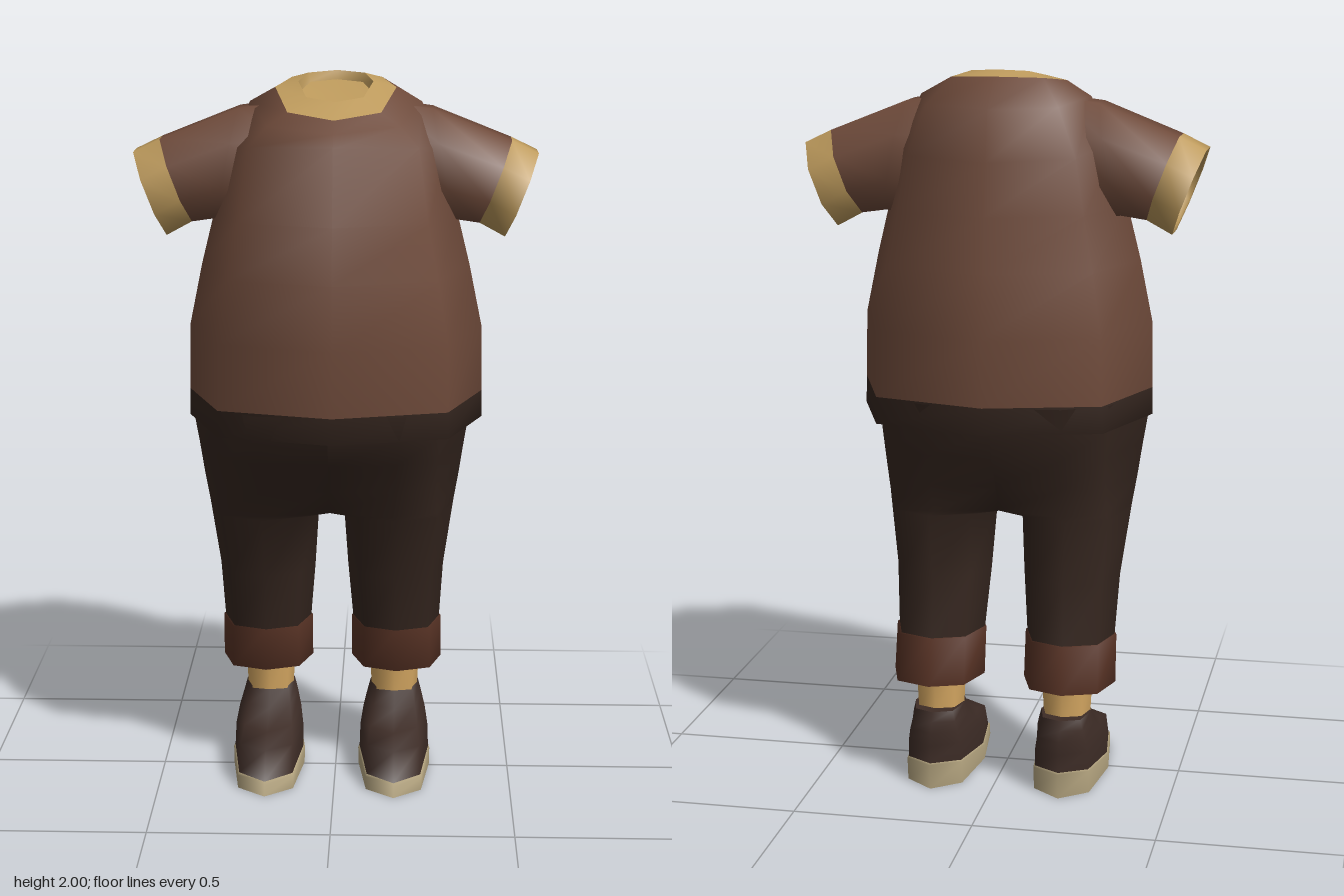
import * as THREE from 'three';
import { mergeGeometries } from 'three/addons/utils/BufferGeometryUtils.js';

const mat = (color) => new THREE.MeshStandardMaterial({ color, side: THREE.DoubleSide });
const shirtMat = mat(0x6e4a3a), trimMat = mat(0xbd9a5c), pantsMat = mat(0x35261f), cuffMat = mat(0x5a3426);
const skinMat = mat(0xd6a862), shoeMat = mat(0x3d2c26), soleMat = mat(0xb5a580);
const { lerp } = THREE.MathUtils;

// Indexed geometry with smooth normals
function solid(pos, index) {
  const g = new THREE.BufferGeometry();
  g.setAttribute('position', new THREE.Float32BufferAttribute(pos, 3));
  g.setIndex(index);
  g.computeVertexNormals();
  return g;
}

// Skin over a list of rings; optional flat caps at the first and last ring
function loft(rings, capStart = false, capEnd = false) {
  const n = rings[0].length, index = [];
  for (let i = 0; i < rings.length - 1; i++) {
    for (let j = 0; j < n; j++) {
      const a = i * n + j, b = i * n + (j + 1) % n;
      index.push(a, b, b + n, a, b + n, a + n);
    }
  }
  const parts = [solid(rings.flat(2), index)];
  const cap = (ring, flip) => {
    const c = [0, 1, 2].map((k) => ring.reduce((s, p) => s + p[k], 0) / n);
    const tri = [];
    for (let j = 0; j < n; j++) {
      const k = (j + 1) % n;
      tri.push(n, flip ? k : j, flip ? j : k);
    }
    parts.push(solid([...ring.flat(), ...c], tri));
  };
  if (capStart) cap(rings[0], true);
  if (capEnd) cap(rings[rings.length - 1], false);
  return mergeGeometries(parts);
}

// Octagon around the vertical axis: half width, front and back z, heights at front, side and back
function ring([rx, zf, zb, yf, ys = yf, yb = yf], cx = 0, k = 0.76) {
  const pts = [];
  for (let i = 0; i < 8; i++) {
    const a = i * Math.PI / 4, d = i % 2 ? k / Math.SQRT1_2 : 1;
    const s = Math.sin(a) * d, c = Math.cos(a) * d;
    const f = Math.abs(c);
    pts.push([cx + rx * s, lerp(ys, c > 0 ? yf : yb, f), (zf + zb) / 2 + (zf - zb) / 2 * c]);
  }
  return pts;
}

// Octagonal sleeve section between a top and a bottom point
function sleeveRing([tx, ty, bx, by], scale = 1) {
  const pts = [], r = scale / Math.cos(Math.PI / 8);
  for (let i = 0; i < 8; i++) {
    const a = (i + 0.5) * Math.PI / 4, c = Math.cos(a) * r / 2;
    pts.push([(tx + bx) / 2 + (tx - bx) * c, (ty + by) / 2 + (ty - by) * c, -0.027 + 0.118 * r * Math.sin(a)]);
  }
  return pts;
}

// Trouser section: d = 1 is a half hip closed on the midline, d = 0 a free octagon
function legRing([y, xi, xo, zf, zb, d]) {
  const zc = (zf + zb) / 2, h = (zf - zb) / 2;
  const ix = xi === 0 ? 0 : lerp(xi, xo, 0.14), iz = lerp(0.76, 1, d), mx = lerp(xi, xo, 0.5);
  const ox = lerp(xi, xo, lerp(0.87, 0.8, d)), oz = lerp(0.76, 0.72, d), mz = lerp(1, 0.94, d);
  return [
    [ix, y, zc + h * iz], [mx, y, zc + h * mz], [ox, y, zc + h * oz], [xo, y, zc],
    [ox, y, zc - h * oz], [mx, y, zc - h * mz], [ix, y, zc - h * iz], [xi, y, zc],
  ];
}

const mirror = (rings, s) => (s > 0 ? rings : rings.map((r) => r.map(([x, y, z]) => [-x, y, z]).reverse()));

export function createModel() {
  const model = new THREE.Group();
  const add = (parent, name, geometry, material) => {
    const m = new THREE.Mesh(geometry, material);
    m.name = name;
    parent.add(m);
    return m;
  };

  // Shirt body
  const hemTop = [0.408, 0.36, -0.36, 1.125];
  const neckEdge = [0.165, 0.172, -0.19, 1.893, 1.965, 1.985];
  add(model, 'shirtBody', loft([
    hemTop,
    [0.405, 0.38, -0.377, 1.31],
    [0.37, 0.357, -0.35, 1.48],
    [0.333, 0.328, -0.328, 1.63],
    [0.3, 0.26, -0.3, 1.83, 1.8, 1.77],
    [0.235, 0.215, -0.275, 1.86, 1.925, 1.905],
    neckEdge,
  ].map((r) => ring(r))), shirtMat);

  // Hem band, turned in underneath
  add(model, 'shirtHem', loft([
    [0.385, 0.33, -0.335, 1.1], [0.385, 0.33, -0.335, 1.055], [0.41, 0.352, -0.357, 1.05], hemTop,
  ].map((r) => ring(r))), pantsMat);

  // Collar with a shallow sunken neck opening
  const lip = [0.102, 0.105, -0.137, 1.935, 1.98, 2.0];
  add(model, 'collar', loft([neckEdge, lip].map((r) => ring(r))), trimMat);
  add(model, 'neckOpening', loft([lip, [0.095, 0.098, -0.13, 1.91, 1.955, 1.975]].map((r) => ring(r)), false, true), trimMat);

  // Lower body sits slightly to the model's right
  const lower = new THREE.Group();
  lower.name = 'lowerBody';
  lower.position.x = -0.0125;
  model.add(lower);

  for (const s of [1, -1]) {
    const side = s > 0 ? 'left' : 'right';
    const part = (name, rings, material, a, b, parent = lower) =>
      add(parent, side + name, loft(mirror(rings, s), a, b), material);

    // Sleeve and its band
    const bandIn = sleeveRing([0.48, 1.825, 0.395, 1.6]), bandOut = sleeveRing([0.553, 1.79, 0.465, 1.562]);
    part('Sleeve', [
      sleeveRing([0.14, 1.935, 0.2, 1.58], 0.95),
      sleeveRing([0.265, 1.91, 0.325, 1.61]),
      bandIn,
    ], shirtMat, false, false, model);
    part('SleeveBand', [bandIn, bandOut], trimMat, false, false, model);
    part('SleeveOpening', [bandOut, sleeveRing([0.545, 1.775, 0.47, 1.58], 0.95),
      sleeveRing([0.525, 1.775, 0.45, 1.585], 0.93)], trimMat, false, true, model);

    // Trouser half; the seam on the midline is smoothed across
    const leg = part('TrouserLeg', [
      [0.42, 0.062, 0.31, 0.052, -0.232, 0],
      [0.6, 0.047, 0.32, 0.095, -0.215, 0],
      [0.785, 0.035, 0.345, 0.162, -0.228, 0.1],
      [0.8, 0, 0.347, 0.17, -0.23, 0.15],
      [0.88, 0, 0.36, 0.215, -0.255, 0.7],
      [0.97, 0, 0.373, 0.268, -0.293, 1],
      [1.05, 0, 0.385, 0.322, -0.318, 1],
      [1.12, 0, 0.388, 0.335, -0.335, 1],
    ].map(legRing), pantsMat);
    const p = leg.geometry.attributes.position, nrm = leg.geometry.attributes.normal;
    const v = new THREE.Vector3();
    for (let i = 0; i < p.count; i++) {
      if (Math.abs(p.getX(i)) > 1e-5) continue;
      v.fromBufferAttribute(nrm, i).setX(0);
      if (v.length() < 1e-3) v.set(0, -1, 0);
      v.normalize();
      nrm.setXYZ(i, v.x, v.y, v.z);
    }

    // Rolled cuff
    part('Cuff', [
      [0.305, 0.1, 0.275, -0.01, -0.225, 0],
      [0.3, 0.057, 0.318, 0.032, -0.263, 0],
      [0.43, 0.057, 0.316, 0.057, -0.237, 0],
      [0.435, 0.075, 0.3, 0.04, -0.22, 0],
    ].map(legRing), cuffMat, true);

    // Ankle
    const cx = 0.182;
    part('Ankle', [[0.066, -0.045, -0.2, 0.19], [0.073, -0.032, -0.208, 0.33]].map((r) => ring(r, cx)), skinMat);

    // Shoe upper and sole
    part('Shoe', [
      [0.1, 0.225, -0.268, 0.035, 0.05, 0.075],
      [0.098, 0.18, -0.265, 0.11, 0.11, 0.125],
      [0.09, 0.08, -0.26, 0.127, 0.15, 0.16],
      [0.08, -0.005, -0.25, 0.168, 0.18, 0.19],
      [0.07, -0.045, -0.235, 0.215],
    ].map((r) => ring(r, cx)), shoeMat, false, true);
    part('Sole', [
      [0.103, 0.247, -0.27, 0],
      [0.104, 0.24, -0.276, 0.032, 0.045, 0.072],
      [0.098, 0.222, -0.265, 0.036, 0.05, 0.076],
    ].map((r) => ring(r, cx)), soleMat, true);
  }
  return model;
}
